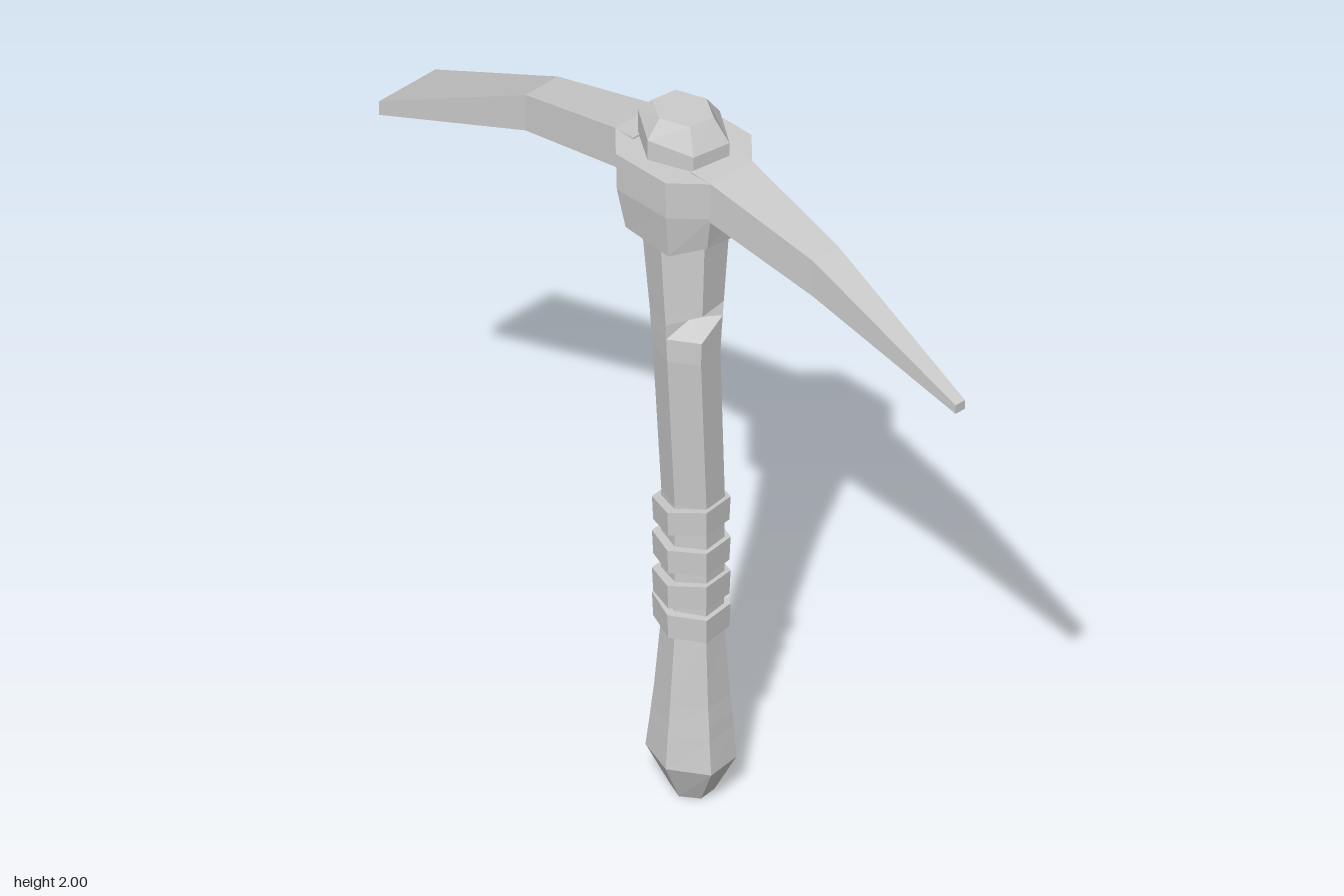
import * as THREE from 'three';

const material = new THREE.MeshStandardMaterial({ color: 0xcccccc, flatShading: true });

// Skin a stack of equal-length rings and close both ends
function loft(name, rings) {
  const n = rings[0].length, last = (rings.length - 1) * n, index = [];
  for (let r = 0; r < rings.length - 1; r++) {
    for (let i = 0; i < n; i++) {
      const a = r * n + i, b = r * n + (i + 1) % n;
      index.push(a, a + n, b, b, a + n, b + n);
    }
  }
  for (let i = 1; i < n - 1; i++) {
    index.push(0, i, i + 1, last, last + i + 1, last + i);
  }
  const geometry = new THREE.BufferGeometry();
  geometry.setAttribute('position', new THREE.Float32BufferAttribute(rings.flat(2), 3));
  geometry.setIndex(index);
  const flat = geometry.toNonIndexed();
  flat.computeVertexNormals();
  const mesh = new THREE.Mesh(flat, material);
  mesh.name = name;
  return mesh;
}

// Six-sided horizontal ring; tilt raises the +z side, notch pulls one corner inward
function hexRing(y, cx, cz, rx, rz, { turn = -0.12, tilt = 0, notch = -1, depth = 0.35 } = {}) {
  return Array.from({ length: 6 }, (_, i) => {
    const a = i * Math.PI / 3 + turn, s = i === notch ? depth : 1;
    const z = Math.sin(a) * rz * s;
    return [cx + Math.cos(a) * rx * s, y + z * tilt, cz + z];
  });
}

// Eight-sided collar ring with chamfered corners
function collarRing(y, x, z, wobble = 0) {
  const corners = [[1, 0.52], [0.48, 1], [-0.48, 1], [-1, 0.52], [-1, -0.52], [-0.48, -1], [0.48, -1], [1, -0.52]];
  return corners.map(([u, v], i) => [u * x, y + (i % 3 - 1) * wobble, v * z]);
}

// Curved arm of rectangular sections: [distance, half width, top, bottom]
function arm(name, side, sections) {
  return loft(name, sections.map(([d, w, top, bottom]) => {
    const x = w * side;
    return [[x, top, d * side], [x, bottom, d * side], [-x, bottom, d * side], [-x, top, d * side]];
  }));
}

export function createModel() {
  const model = new THREE.Group();
  model.name = 'pickaxe';

  // Crooked wooden handle with two chipped corners
  model.add(loft('handle', [
    hexRing(0, 0.01, 0.02, 0.052, 0.055),
    hexRing(0.11, 0.005, 0.02, 0.1, 0.12),
    hexRing(0.2, 0.007, 0.02, 0.094, 0.108),
    hexRing(0.235, 0.008, 0.02, 0.091, 0.105, { notch: 5 }),
    hexRing(0.29, 0.009, 0.02, 0.087, 0.098),
    hexRing(0.49, 0.01, 0.02, 0.07, 0.082),
    hexRing(0.87, 0.012, 0.02, 0.072, 0.082),
    hexRing(1.32, -0.02, 0.03, 0.076, 0.088),
    hexRing(1.385, -0.018, 0.027, 0.079, 0.093),
    hexRing(1.425, -0.016, 0.025, 0.081, 0.096, { notch: 2 }),
    hexRing(1.465, -0.014, 0.022, 0.084, 0.099),
    hexRing(1.66, -0.005, 0.01, 0.097, 0.115),
    hexRing(1.88, 0, 0, 0.1, 0.115),
  ]));

  // Grip wrapping
  const wraps = [[0.825, 0.15], [0.715, 0.03], [0.61, 0.1], [0.525, -0.06]];
  wraps.forEach(([y, tilt], i) => {
    const ring = (h, r) => hexRing(y + h, 0.008, 0.018, r, r * 1.06, { tilt });
    model.add(loft(`gripBand${i + 1}`, [ring(-0.034, 0.09), ring(0.034, 0.093)]));
  });

  // Metal collar
  model.add(loft('collar', [
    collarRing(1.675, 0.124, 0.142, 0.013),
    collarRing(1.79, 0.143, 0.163),
    collarRing(1.895, 0.145, 0.165),
  ]));

  // Handle end above the collar
  model.add(loft('handleTop', [
    hexRing(1.87, 0, 0, 0.108, 0.125, { turn: 0.12 }),
    hexRing(1.95, 0, 0, 0.108, 0.125, { turn: 0.12, tilt: -0.12 }),
    hexRing(2, 0, -0.003, 0.07, 0.085, { turn: 0.12 }),
  ]));

  // Pointed arm at the front, flared blade at the back
  model.add(arm('spike', 1, [
    [0.1, 0.073, 1.9, 1.77],
    [0.165, 0.07, 1.895, 1.78],
    [0.49, 0.043, 1.82, 1.715],
    [0.955, 0.016, 1.615, 1.59],
  ]));
  model.add(arm('blade', -1, [
    [0.1, 0.073, 1.9, 1.77],
    [0.165, 0.07, 1.895, 1.78],
    [0.49, 0.055, 1.82, 1.715],
    [0.955, 0.095, 1.585, 1.545],
  ]));

  return model;
}
